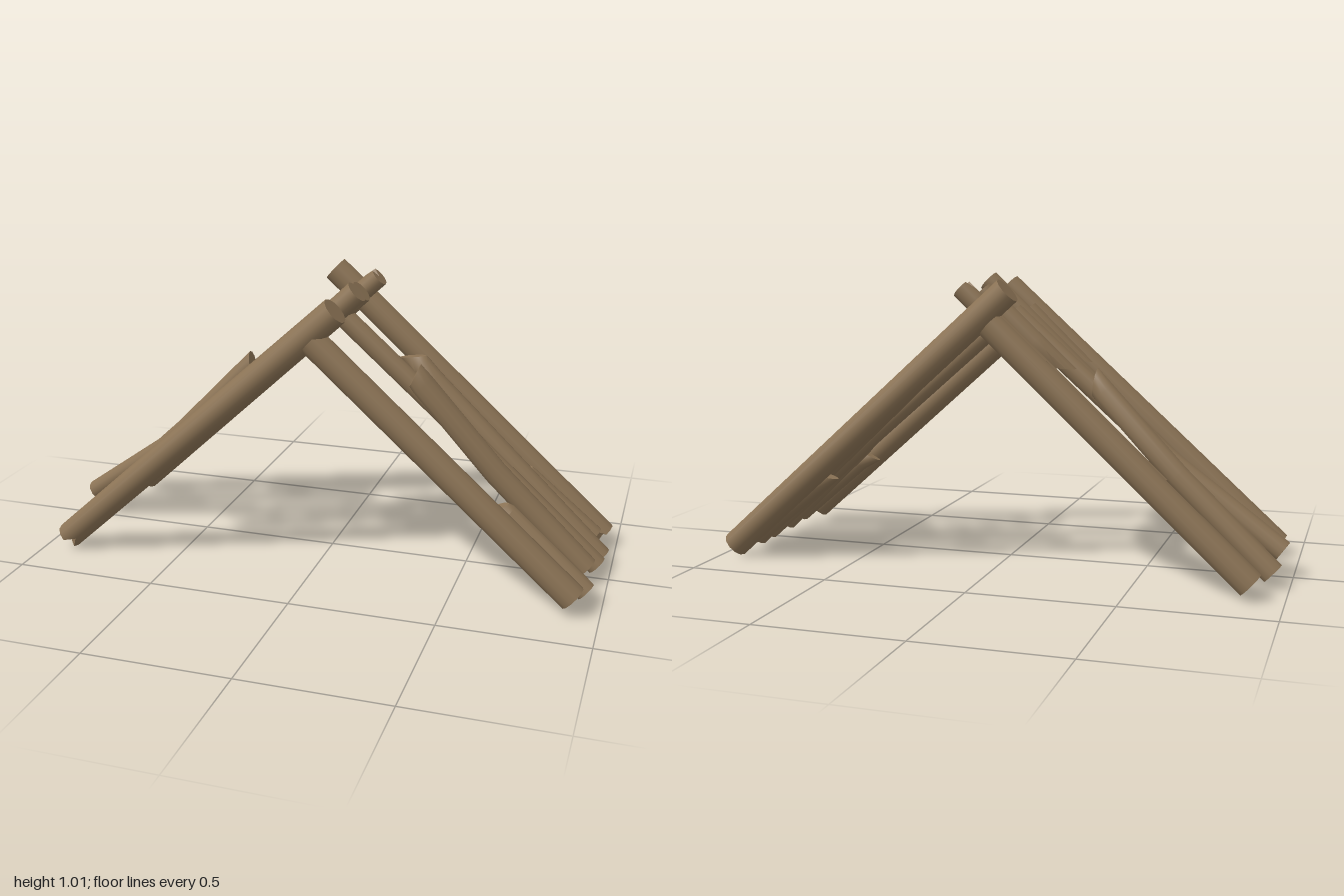
import * as THREE from 'three';
import { toCreasedNormals } from 'three/addons/utils/BufferGeometryUtils.js';

const SIDES = 12;

// A log along a path from its foot to its top. Ends may be cut on a slant
// (cut > 0 trims the inner side, cut < 0 the outer side) or split by a notch.
function logGeometry(path, r, { foot = 0, top = 0, footNotch = -1, topNotch = -1 } = {}) {
  const pts = path.map((p) => new THREE.Vector3(...p));
  const last = pts.length - 1;
  const toward = (a, b, d) => a.clone().add(b.clone().sub(a).setLength(d));
  if (top) pts.splice(last, 0, toward(pts[last], pts[last - 1], Math.abs(top) + 0.02));
  if (foot) pts.splice(1, 0, toward(pts[0], pts[1], Math.abs(foot) + 0.02));

  const n = pts.length;
  const pos = [];
  const index = [];
  const zAxis = new THREE.Vector3(0, 0, 1);
  pts.forEach((p, i) => {
    const t = pts[Math.min(i + 1, n - 1)].clone().sub(pts[Math.max(i - 1, 0)]).normalize();
    const out = zAxis.clone().cross(t).normalize();
    if (out.y < 0) out.negate();
    const side = t.clone().cross(out);
    const cut = i === 0 ? foot : i === n - 1 ? top : 0;
    const notch = i === 0 ? footNotch : i === n - 1 ? topNotch : -1;
    const inward = i === 0 ? 1 : -1;
    const pinch = cut ? 0.65 : 1;
    for (let j = 0; j < SIDES; j++) {
      const a = (j / SIDES) * Math.PI * 2;
      let back = (Math.abs(cut) * (1 - Math.sign(cut) * Math.cos(a))) / 2;
      if (j === notch) back += 0.04;
      const v = p.clone()
        .addScaledVector(out, Math.cos(a) * r)
        .addScaledVector(side, Math.sin(a) * r * pinch)
        .addScaledVector(t, inward * back);
      pos.push(v.x, v.y, v.z);
    }
  });

  // Bark faces between the rings
  for (let i = 0; i < n - 1; i++) {
    for (let j = 0; j < SIDES; j++) {
      const k = (j + 1) % SIDES;
      const a = i * SIDES + j, b = i * SIDES + k;
      index.push(a, b, b + SIDES, a, b + SIDES, a + SIDES);
    }
  }
  // Sawn end faces
  const addCap = (start, p, q, cut, flip) => {
    const c = toward(p, q, Math.max(Math.abs(cut) / 2, 1e-4));
    const centre = pos.length / 3;
    pos.push(c.x, c.y, c.z);
    for (let j = 0; j < SIDES; j++) {
      const a = start + j, b = start + ((j + 1) % SIDES);
      if (flip) index.push(centre, b, a);
      else index.push(centre, a, b);
    }
  };
  addCap(0, pts[0], pts[1], foot, true);
  addCap((n - 1) * SIDES, pts[n - 1], pts[n - 2], top, false);

  const geo = new THREE.BufferGeometry();
  geo.setAttribute('position', new THREE.Float32BufferAttribute(pos, 3));
  geo.setIndex(index);
  return toCreasedNormals(geo, 0.75);
}

export function createModel() {
  const group = new THREE.Group();
  const wood = new THREE.MeshStandardMaterial({ color: 0x8b7355 });
  wood.name = 'weathered wood';

  const logs = [
    // Four outer beams; each pair crosses at the ridge
    ['frontLeftBeam', 0.048, [[0.1, 0.97, 0.295], [-0.92, 0.05, 0.295]].reverse(), { footNotch: 4 }],
    ['frontRightBeam', 0.048, [[0.91, 0.072, 0.295], [0.02, 0.865, 0.295]], { footNotch: 2 }],
    ['backLeftBeam', 0.048, [[-0.89, 0.06, -0.295], [-0.02, 0.865, -0.295]], {}],
    ['backRightBeam', 0.048, [[0.95, 0.052, -0.295], [-0.08, 0.98, -0.295]], { footNotch: 9 }],

    // Broken poles of the left slope
    ['leftBentPole', 0.041, [[-0.945, 0.06, -0.14], [-0.62, 0.36, -0.11], [-0.3, 0.68, -0.05]], { top: 0.06 }],
    ['leftLongPole', 0.038, [[-0.965, 0.105, -0.012], [-0.55, 0.4, 0.032], [0.0, 0.885, 0.035]], {}],
    ['leftUpperPoleFront', 0.04, [[-0.585, 0.33, 0.15], [-0.2, 0.69, 0.125], [0.12, 0.995, 0.115]], { foot: 0.08 }],
    ['leftUpperPoleBack', 0.036, [[-0.58, 0.34, -0.215], [0.11, 0.98, -0.207]], { foot: 0.08, topNotch: 0 }],
    ['leftStubMiddle', 0.042, [[-0.22, 0.67, -0.035], [-0.1, 0.785, -0.045], [0.09, 0.96, -0.047]], { foot: 0.1 }],
    ['leftStubFront', 0.043, [[-0.22, 0.67, 0.198], [0.0, 0.88, 0.203]], { foot: 0.12 }],

    // Broken poles of the right slope
    ['rightStubFront', 0.036, [[0.945, 0.06, 0.21], [0.67, 0.29, 0.182], [0.61, 0.325, 0.19]], { top: -0.05, footNotch: 1 }],
    ['rightBentPole', 0.042, [[0.925, 0.068, 0.045], [0.6, 0.38, 0.045], [0.31, 0.735, 0.105]], { top: 0.04 }],
    ['rightLongPole', 0.037, [[0.955, 0.045, -0.035], [0.5, 0.45, -0.045], [0.02, 0.87, -0.047]], { footNotch: 2 }],
    ['rightLeaningPole', 0.04, [[0.96, 0.042, -0.115], [0.33, 0.63, -0.15], [0.23, 0.73, -0.165]], { top: -0.06 }],
    ['rightStubBack', 0.044, [[0.92, 0.075, -0.203], [0.61, 0.33, -0.205]], { top: -0.07 }],
  ];

  for (const [name, radius, path, ends] of logs) {
    const mesh = new THREE.Mesh(logGeometry(path, radius, ends), wood);
    mesh.name = name;
    group.add(mesh);
  }
  return group;
}
